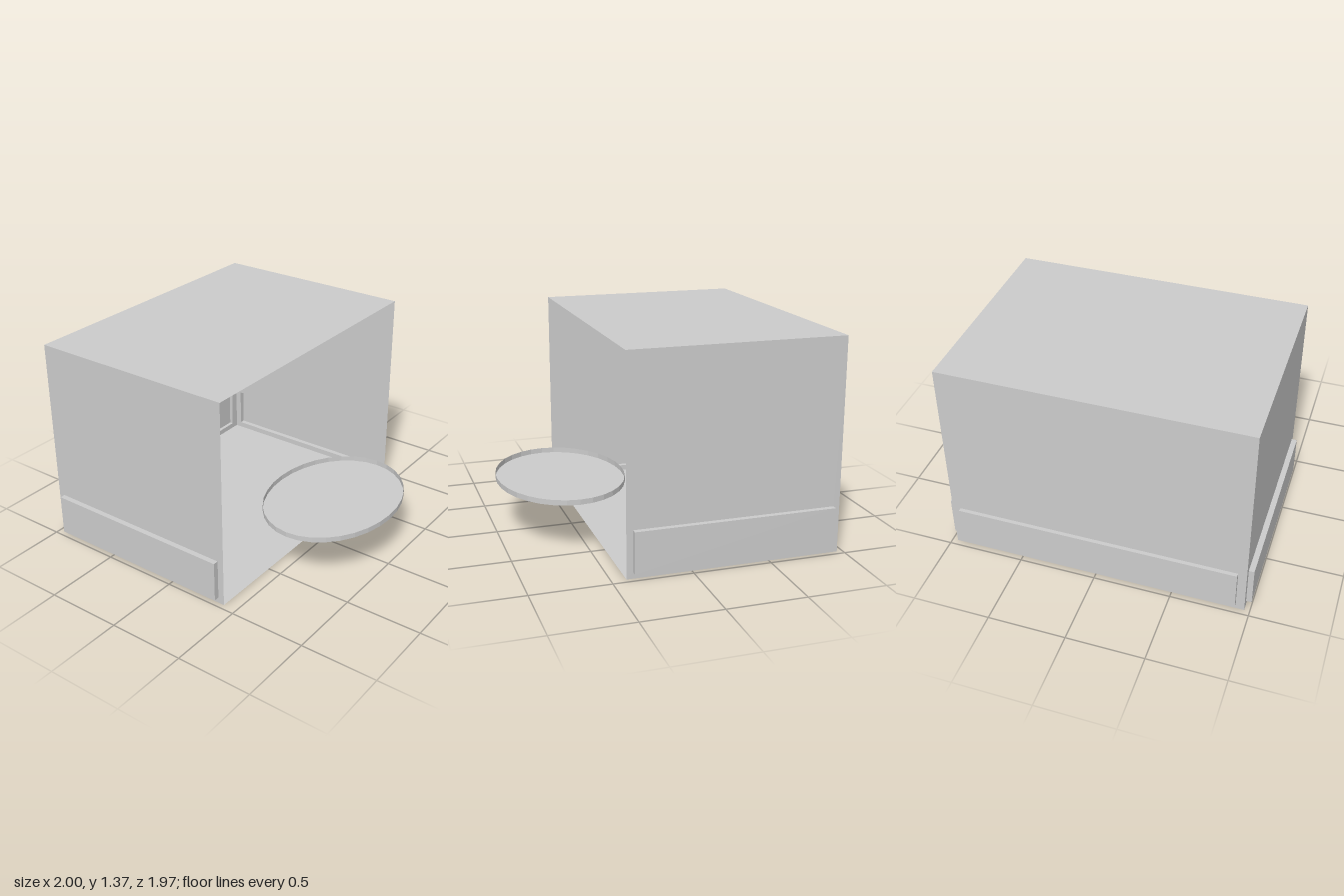
import * as THREE from 'three';

const material = new THREE.MeshStandardMaterial({ color: 0xcccccc, flatShading: true, side: THREE.DoubleSide });

const WIDTH = 1.93, HEIGHT = 1.37, BACK = -0.963, FRONT = 0.408;
const DEPTH = FRONT - BACK, MID_Z = (FRONT + BACK) / 2;
const PANEL_LOW = 0.038, PANEL_HIGH = 0.304;

function mesh(name, geometry) {
  const m = new THREE.Mesh(geometry, material);
  m.name = name;
  return m;
}

// Thin wall facing +z with a band pushed outward, hollow from the inside
function bandedWall(name, width, bandWidth, bandDepth) {
  const wall = new THREE.Group();
  wall.name = name;
  const w = width / 2, b = bandWidth / 2;

  const shape = new THREE.Shape([
    new THREE.Vector2(-w, 0), new THREE.Vector2(w, 0),
    new THREE.Vector2(w, HEIGHT), new THREE.Vector2(-w, HEIGHT),
  ]);
  shape.holes.push(new THREE.Path([
    new THREE.Vector2(-b, PANEL_LOW), new THREE.Vector2(-b, PANEL_HIGH),
    new THREE.Vector2(b, PANEL_HIGH), new THREE.Vector2(b, PANEL_LOW),
  ]));
  wall.add(mesh('wallSheet', new THREE.ShapeGeometry(shape)));

  // Box without its inner (-z) face
  const band = new THREE.BoxGeometry(bandWidth, PANEL_HIGH - PANEL_LOW, bandDepth);
  band.setIndex(Array.from(band.index.array).slice(0, 30));
  band.translate(0, (PANEL_LOW + PANEL_HIGH) / 2, bandDepth / 2);
  wall.add(mesh('raisedBand', band));
  return wall;
}

export function createModel() {
  const model = new THREE.Group();
  model.name = 'openFrontBox';

  // Floor and roof
  for (const [name, y, turn] of [['floor', 0, 1], ['roof', HEIGHT, -1]]) {
    const sheet = mesh(name, new THREE.PlaneGeometry(WIDTH, DEPTH).rotateX(turn * Math.PI / 2));
    sheet.position.set(0, y, MID_Z);
    model.add(sheet);
  }

  // Side walls
  for (const [name, side] of [['leftWall', 1], ['rightWall', -1]]) {
    const wall = bandedWall(name, DEPTH, 1.288, 0.035);
    wall.rotation.y = side * Math.PI / 2;
    wall.position.set(side * WIDTH / 2, 0, MID_Z);
    model.add(wall);
  }

  // Back wall
  const back = bandedWall('backWall', WIDTH, 1.82, 0.025);
  back.rotation.y = Math.PI;
  back.position.z = BACK;
  model.add(back);

  // Shallow oval tray, open on top
  const tray = new THREE.Group();
  tray.name = 'ovalTray';
  const rim = new THREE.CylinderGeometry(1, 1, 0.034, 32, 1, true).translate(0, 0.017, 0);
  const base = new THREE.CircleGeometry(1, 32).rotateX(Math.PI / 2);
  for (const [name, geometry] of [['trayRim', rim], ['trayBase', base]]) {
    tray.add(mesh(name, geometry.scale(0.548, 1, 0.415)));
  }
  tray.position.set(0, 0.335, 0.572);
  model.add(tray);

  return model;
}
